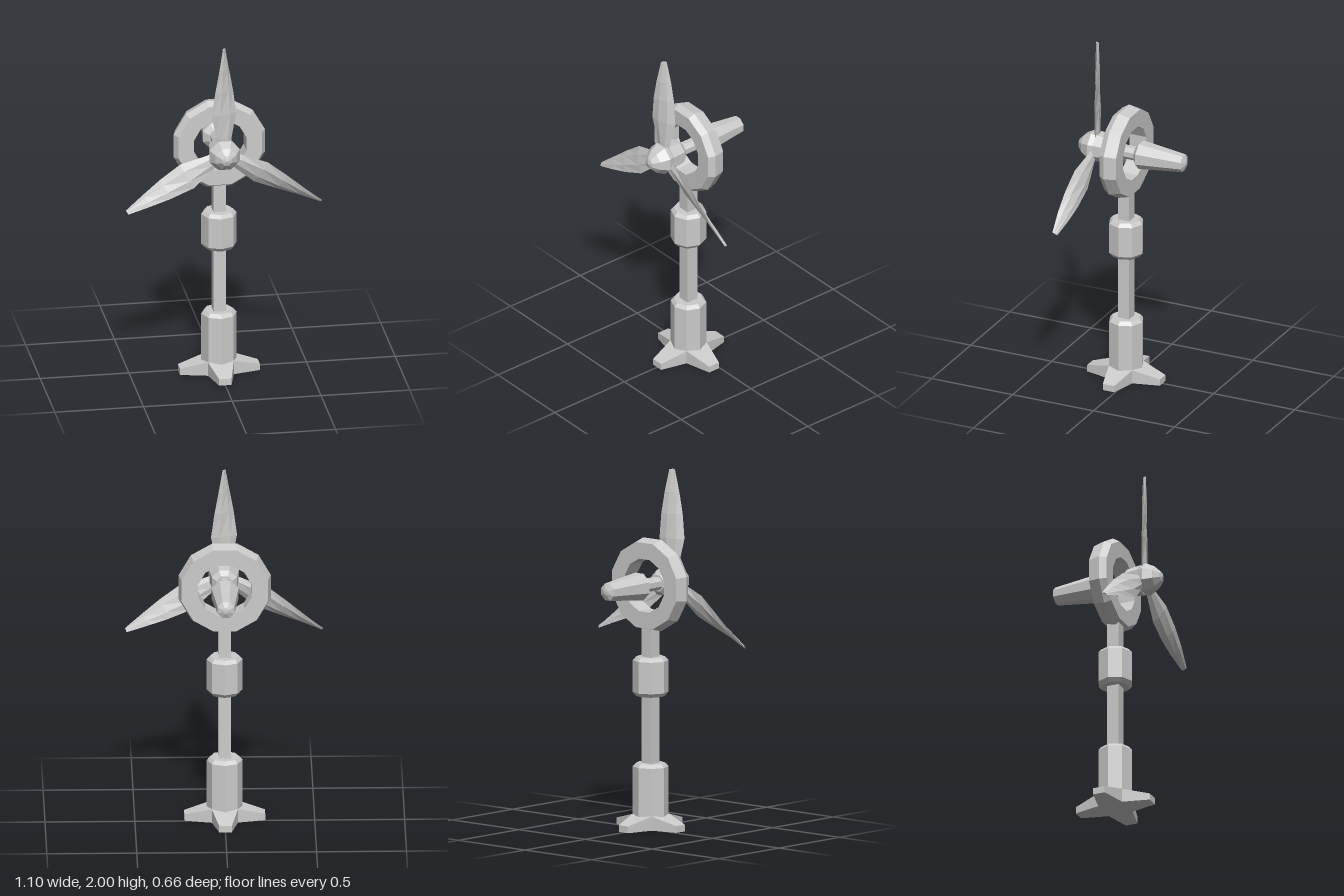
import * as THREE from 'three';

const material = new THREE.MeshStandardMaterial({ color: 0xcccccc, flatShading: true });
const TOWER_Z = 0.04; // tower axis
const HUB_Y = 1.37; // rotor axis

function part(name, geometry, parent) {
  const mesh = new THREE.Mesh(geometry, material);
  mesh.name = name;
  parent.add(mesh);
  return mesh;
}

// Faceted turned shape; profile is [radius, height], flats face the axes if flat is set
function turned(profile, sides, flat = false) {
  const k = flat ? 1 / Math.cos(Math.PI / sides) : 1;
  const g = new THREE.LatheGeometry(profile.map(([r, h]) => new THREE.Vector2(r * k, h)), sides);
  return flat ? g.rotateY(Math.PI / sides) : g;
}

// Turned shape lying along z
const turnedZ = (profile, sides) => turned(profile, sides, true).rotateX(Math.PI / 2);

// Closed skin over loops of [x, y, z] points, counter-clockwise seen from the last loop
function loft(loops) {
  const n = loops[0].length;
  const index = [];
  for (let i = 0; i < loops.length - 1; i++) {
    for (let j = 0; j < n; j++) {
      const a = i * n + j, b = i * n + (j + 1) % n;
      index.push(a, b, b + n, a, b + n, a + n);
    }
  }
  const last = (loops.length - 1) * n;
  for (let j = 1; j < n - 1; j++) {
    index.push(0, j + 1, j, last, last + j, last + j + 1);
  }
  const g = new THREE.BufferGeometry();
  g.setAttribute('position', new THREE.Float32BufferAttribute(loops.flat(2), 3));
  g.setIndex(index);
  g.computeVertexNormals();
  return g;
}

// Twisted blade pointing up: stations are [radius, half width, half depth, half thickness]
function bladeGeometry() {
  const stations = [
    [0.05, 0.038, 0.004, 0.012],
    [0.10, 0.045, 0.008, 0.013],
    [0.24, 0.073, 0.023, 0.014],
    [0.38, 0.054, 0.029, 0.012],
    [0.50, 0.032, 0.026, 0.009],
    [0.63, 0.009, 0.013, 0.005],
  ];
  return loft(stations.map(([r, c, d, t]) => {
    const len = Math.hypot(c, d);
    const at = (u, n) => [u * c + (n * t * d) / len, r, -u * d + (n * t * c) / len];
    return [at(-0.4, 1), at(0.4, 1), at(1, 0), at(0.4, -1), at(-0.4, -1), at(-1, 0)];
  }));
}

// Tapered foot pointing along +z: sections are [distance, half width, height]
function footGeometry() {
  const sections = [[0.07, 0.073, 0.08], [0.225, 0.035, 0.038]];
  return loft(sections.map(([z, w, h]) => [[-w, 0, z], [w, 0, z], [w, h, z], [-w, h, z]]));
}

export function createModel() {
  const model = new THREE.Group();
  model.name = 'windTurbine';

  // Tower: square pole with two octagonal collars and four feet
  const tower = new THREE.Group();
  tower.name = 'tower';
  tower.position.z = TOWER_Z;
  model.add(tower);

  part('pole', new THREE.BoxGeometry(0.07, 0.85, 0.07), tower).position.y = 0.725;
  part('baseCollar', turned([[0, 0], [0.1, 0], [0.1, 0.347], [0.082, 0.367], [0, 0.367]], 8), tower);
  part('upperCollar', turned([
    [0, 0.745], [0.082, 0.745], [0.1, 0.767], [0.1, 0.945], [0.082, 0.965], [0, 0.965],
  ], 8), tower);

  const foot = footGeometry();
  for (let i = 0; i < 4; i++) part('foot', foot, tower).rotation.y = (i * Math.PI) / 2;

  // Head: ring, shaft, generator body and tail
  const head = new THREE.Group();
  head.name = 'head';
  head.position.y = HUB_Y;
  model.add(head);

  part('ring', turnedZ([
    [0.148, -0.013], [0.24, -0.013], [0.257, 0.055], [0.235, 0.092], [0.148, 0.092], [0.148, -0.013],
  ], 12), head);
  part('shaft', turnedZ([[0.036, -0.06], [0.036, 0.13]], 8), head);
  part('nacelle', turnedZ([[0, 0.097], [0.045, 0.097], [0.07, 0.124], [0.08, 0.21], [0, 0.21]], 8), head);
  part('tail', turnedZ([
    [0, -0.333], [0.016, -0.331], [0.047, -0.317], [0.075, -0.052], [0.045, -0.026], [0, -0.026],
  ], 8), head);

  // Rotor: domed hub and three twisted blades
  const rotor = new THREE.Group();
  rotor.name = 'rotor';
  head.add(rotor);

  part('hub', turnedZ([
    [0, 0.19], [0.07, 0.19], [0.085, 0.24], [0.06, 0.29], [0.028, 0.322], [0, 0.331],
  ], 8), rotor);

  const blade = bladeGeometry();
  for (let i = 0; i < 3; i++) {
    const mesh = part('blade', blade, rotor);
    mesh.position.z = 0.217;
    mesh.rotation.z = (i * Math.PI * 2) / 3;
  }

  return model;
}
